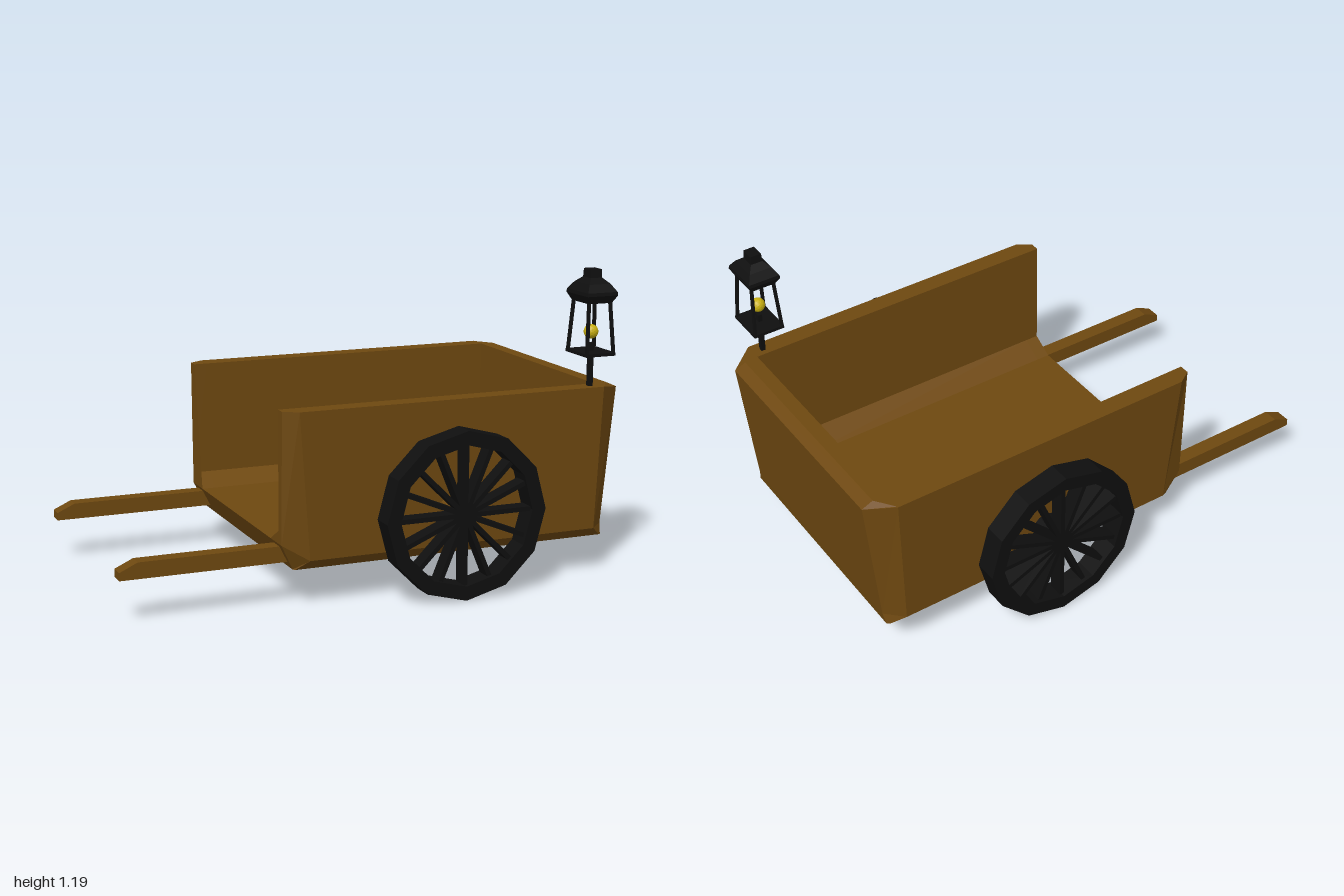
import * as THREE from 'three';

const wood = new THREE.MeshStandardMaterial({ color: 0x6e4810, flatShading: true });
const iron = new THREE.MeshStandardMaterial({ color: 0x0f0f0f, flatShading: true });
const glow = new THREE.MeshStandardMaterial({ color: 0xc9b011, flatShading: true });

function add(parent, name, geometry, material, x = 0, y = 0, z = 0) {
  const mesh = new THREE.Mesh(geometry, material);
  mesh.name = name;
  mesh.position.set(x, y, z);
  parent.add(mesh);
  return mesh;
}

// Box body, open at the -x end: one wall profile swept round a U, then floor, underside and ends
function bodyGeometry() {
  // each station: bottom, outer low, outer top, rim, inner top, inner low, floor edge
  const half = [
    [[-0.35, 0.14, 0.49], [-0.4, 0.24, 0.51], [-0.4, 0.74, 0.52], [-0.4, 0.74, 0.515],
      [-0.4, 0.74, 0.48], [-0.4, 0.29, 0.48], [-0.4, 0.24, 0.395]],
    [[-0.345, 0.14, 0.5], [-0.3, 0.18, 0.54], [-0.345, 0.74, 0.555], [-0.345, 0.74, 0.55],
      [-0.345, 0.74, 0.48], [-0.345, 0.29, 0.48], [-0.345, 0.24, 0.395]],
    [[0.93, 0.14, 0.5], [0.88, 0.18, 0.54], [0.9, 0.74, 0.555], [0.9, 0.74, 0.55],
      [0.9, 0.74, 0.48], [0.9, 0.29, 0.48], [0.8, 0.24, 0.395]],
    [[0.94, 0.14, 0.49], [0.945, 0.18, 0.475], [1, 0.72, 0.475], [0.955, 0.74, 0.475],
      [0.9, 0.74, 0.48], [0.9, 0.29, 0.48], [0.8, 0.24, 0.395]],
  ].map((s) => s.map((p) => new THREE.Vector3(...p)));
  const mirrored = half.map((s) => s.map((p) => new THREE.Vector3(p.x, p.y, -p.z))).reverse();
  const st = [...half, ...mirrored];
  const points = [];
  const tri = new THREE.Triangle();
  const fan = (poly) => {
    for (let i = 1; i < poly.length - 1; i++) {
      tri.set(poly[0], poly[i], poly[i + 1]);
      if (tri.getArea() > 1e-7) points.push(poly[0], poly[i], poly[i + 1]);
    }
  };
  for (let j = 0; j < st.length - 1; j++) {
    for (let i = 0; i < 6; i++) fan([st[j][i], st[j + 1][i], st[j + 1][i + 1], st[j][i + 1]]);
  }
  const first = st[0], last = st[st.length - 1];
  // wall ends: fan from the inner low corner keeps the L-shaped face valid
  const end = [5, 6, 1, 2, 3, 4];
  fan(end.map((i) => first[i]));
  fan(end.map((i) => last[i]).reverse());
  fan([last[0], first[0], first[1], last[1]]);
  fan(st.map((s) => s[6]));
  fan(st.map((s) => s[0]).reverse());
  const geometry = new THREE.BufferGeometry().setFromPoints(points);
  geometry.computeVertexNormals();
  return geometry;
}

// Twelve-sided rim with thin, deep spokes
function makeWheel(name) {
  const wheel = new THREE.Group();
  wheel.name = name;
  const ring = (r) => Array.from({ length: 12 }, (_, i) => {
    const a = (i * Math.PI) / 6;
    return new THREE.Vector2(r * Math.cos(a), r * Math.sin(a));
  });
  const shape = new THREE.Shape(ring(0.323));
  shape.holes.push(new THREE.Path(ring(0.268)));
  const rim = new THREE.ExtrudeGeometry(shape, { depth: 0.09, bevelEnabled: false });
  add(wheel, 'wheelRim', rim, iron, 0, 0, -0.045);
  for (let i = 0; i < 16; i++) {
    const spoke = new THREE.BoxGeometry(0.27, 0.018, 0.06).translate(0.135, 0, 0);
    add(wheel, 'spoke', spoke, iron).rotation.z = (i * Math.PI) / 8;
  }
  return wheel;
}

// Lantern on a post, deeper in z than in x
function makeLantern() {
  const lantern = new THREE.Group();
  lantern.name = 'lantern';
  add(lantern, 'lanternPost', new THREE.BoxGeometry(0.017, 0.225, 0.02), iron, 0, 0.795, 0);
  add(lantern, 'lanternBase', new THREE.BoxGeometry(0.125, 0.012, 0.16), iron, 0, 0.871, 0);
  const up = new THREE.Vector3(0, 1, 0);
  for (const sx of [-1, 1]) for (const sz of [-1, 1]) {
    const a = new THREE.Vector3(sx * 0.057, 0.87, sz * 0.073);
    const b = new THREE.Vector3(sx * 0.045, 1.075, sz * 0.057);
    const dir = b.clone().sub(a);
    const bar = add(lantern, 'lanternBar', new THREE.BoxGeometry(0.01, dir.length(), 0.013), iron);
    bar.position.copy(a).lerp(b, 0.5);
    bar.quaternion.setFromUnitVectors(up, dir.normalize());
  }
  // square roof with a small chimney
  const profile = [[0, 1.065], [0.063, 1.065], [0.082, 1.095], [0.08, 1.108], [0.057, 1.137],
    [0.03, 1.158], [0.028, 1.19], [0, 1.19]]
    .map(([r, y]) => new THREE.Vector2(r * Math.SQRT2, y));
  const roof = new THREE.LatheGeometry(profile, 4, Math.PI / 4);
  add(lantern, 'lanternRoof', roof.scale(0.79, 1, 1), iron);
  add(lantern, 'lanternLight', new THREE.IcosahedronGeometry(0.028, 2), glow, 0, 0.95, 0);
  lantern.position.set(0.86, 0, 0.513);
  return lantern;
}

export function createModel() {
  const cart = new THREE.Group();
  cart.name = 'handCart';
  add(cart, 'cartBody', bodyGeometry(), wood);

  const handleShape = new THREE.Shape([[-1, 0.165], [-0.34, 0.165], [-0.34, 0.227], [-0.93, 0.227], [-1, 0.195]]
    .map(([x, y]) => new THREE.Vector2(x, y)));
  for (const side of [1, -1]) {
    const label = side > 0 ? 'front' : 'back';
    const handle = new THREE.ExtrudeGeometry(handleShape, { depth: 0.06, bevelEnabled: false });
    add(cart, label + 'Handle', handle, wood, 0, 0, side * 0.44 - 0.03);

    // axle stubs reach from the body into the wheels
    const axle = new THREE.CylinderGeometry(0.053, 0.053, 0.1, 12).rotateX(Math.PI / 2);
    add(cart, label + 'Axle', axle, side > 0 ? wood : iron, 0.27, 0.325, side * 0.56);

    const wheel = makeWheel(label + 'Wheel');
    wheel.position.set(0.27, 0.323, side * 0.63);
    cart.add(wheel);
  }

  cart.add(makeLantern());
  return cart;
}
